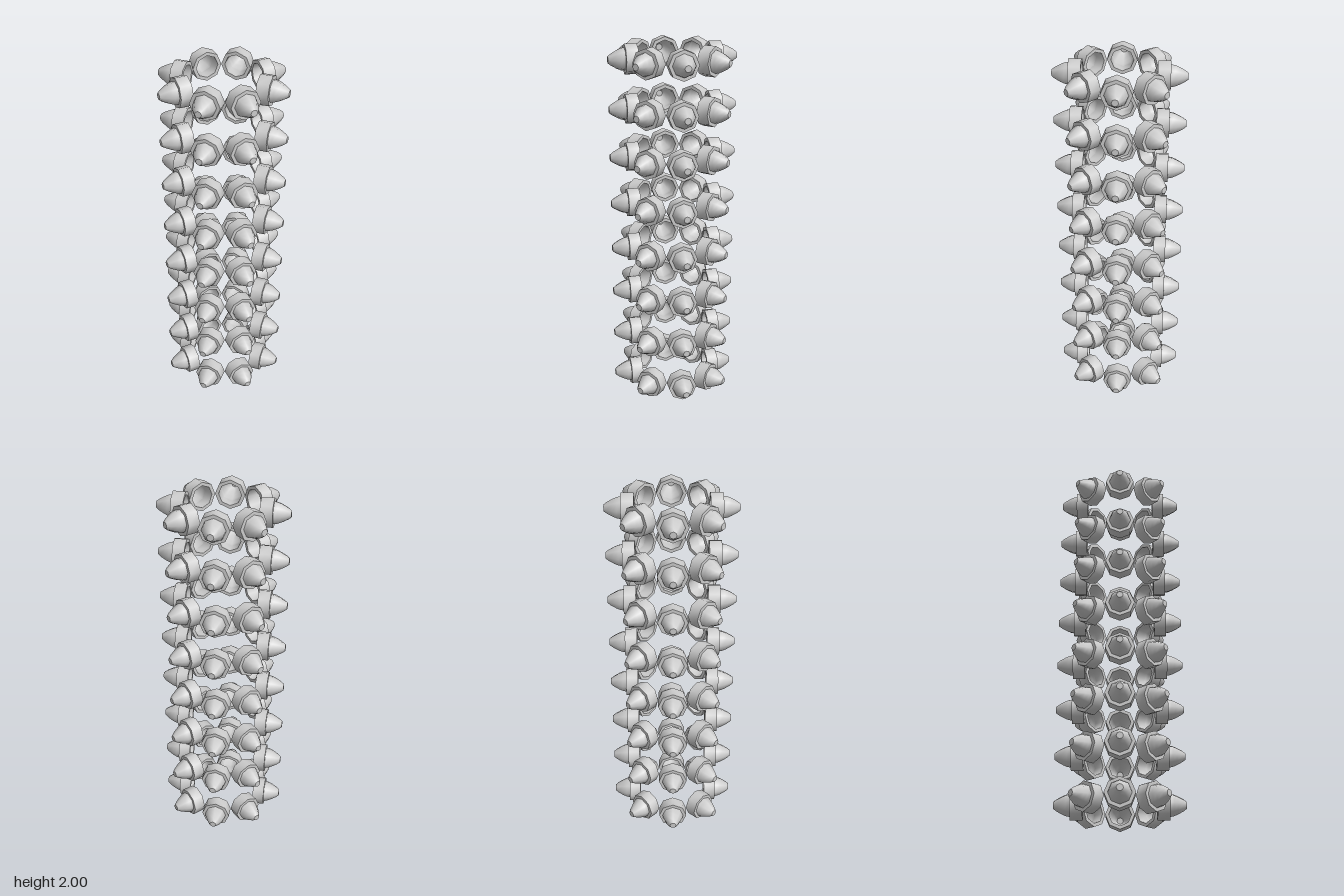
import * as THREE from 'three';
import { toCreasedNormals } from 'three/addons/utils/BufferGeometryUtils.js';

const ROWS = 8, PER_ROW = 8, SIDES = 8;
const RADIUS = 0.08;                       // outer radius of a collar
const INNER = 0.193, OUTER = 0.259;        // collar span from the main axis

// Turned eight-sided part whose axis points along +z
function turned(points, crease) {
  const profile = points.map(([r, d]) => new THREE.Vector2(r, d));
  const geometry = new THREE.LatheGeometry(profile, SIDES).rotateX(Math.PI / 2);
  return toCreasedNormals(geometry, crease);
}

export function createModel() {
  const model = new THREE.Group();
  model.name = 'studdedColumn';
  const material = new THREE.MeshStandardMaterial({ color: 0xcccccc, side: THREE.DoubleSide });

  // Collar: a short hollow socket
  const collarGeometry = turned([
    [0.061, INNER], [RADIUS, INNER], [RADIUS, OUTER], [0.061, OUTER], [0.061, INNER],
  ], 0.9);

  // Dome: a blunt bullet with a small flat tip
  const domeGeometry = turned([
    [0.061, OUTER], [0.057, 0.279], [0.048, 0.3], [0.031, 0.33], [0.018, 0.3465], [0, 0.3465],
  ], 0.9);

  // Stacked rings of outward-facing studs
  for (let row = 0; row < ROWS; row++) {
    const ring = new THREE.Group();
    ring.name = `ring${row + 1}`;
    ring.position.y = RADIUS + row * (2 - 2 * RADIUS) / (ROWS - 1);
    for (let i = 0; i < PER_ROW; i++) {
      const stud = new THREE.Group();
      stud.name = `stud${i + 1}`;
      const collar = new THREE.Mesh(collarGeometry, material);
      collar.name = 'collar';
      const dome = new THREE.Mesh(domeGeometry, material);
      dome.name = 'dome';
      stud.add(collar, dome);
      stud.rotation.y = i * 2 * Math.PI / PER_ROW;
      ring.add(stud);
    }
    model.add(ring);
  }
  return model;
}
